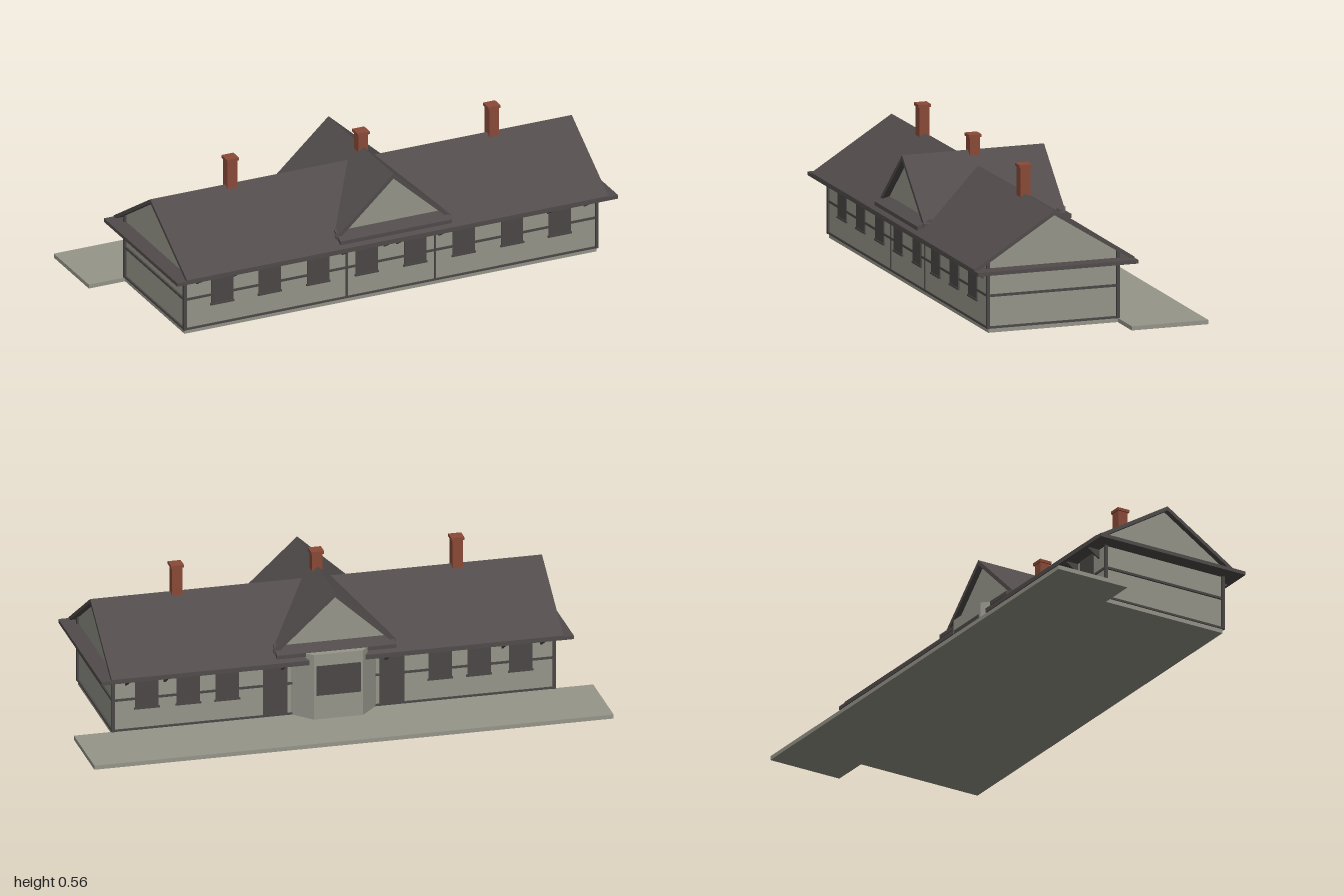
import * as THREE from 'three';

const material = (name, color) => Object.assign(new THREE.MeshStandardMaterial({ color }), { name });

export function createModel() {
  const root = new THREE.Group();
  root.name = 'stationHouse';
  const wall = material('wallGrey', 0x96958a);
  const roof = material('roofDark', 0x514c4b);
  const trim = material('trimDark', 0x4b4746);
  const brick = material('brickRed', 0x8a4a38);

  const W = 0.85, zF = 0.38, zB = -0.137, zC = 0.1225, ridge = 0.45;

  const add = (name, geo, mat) => {
    const m = new THREE.Mesh(geo, mat);
    m.name = name;
    root.add(m);
    return m;
  };
  // box given by its limits on each axis
  const box = (name, mat, x0, x1, y0, y1, z0, z1) => {
    const m = add(name, new THREE.BoxGeometry(x1 - x0, y1 - y0, z1 - z0), mat);
    m.position.set((x0 + x1) / 2, (y0 + y1) / 2, (z0 + z1) / 2);
    return m;
  };
  const extrude = (pts, depth) => new THREE.ExtrudeGeometry(
    new THREE.Shape(pts.map(p => new THREE.Vector2(...p))), { depth, bevelEnabled: false });
  // (z, y) profile run along x, and (x, y) profile run along z
  const alongX = (name, mat, pts, x0, x1) =>
    add(name, extrude(pts, x1 - x0).rotateY(-Math.PI / 2).translate(x1, 0, 0), mat);
  const alongZ = (name, mat, pts, z0, z1) =>
    add(name, extrude(pts, z1 - z0).translate(0, 0, z0), mat);
  // inverted V with a vertical thickness
  const chevron = (c, half, top, low, t) => [
    [c - half, low], [c, top], [c + half, low],
    [c + half, low - t], [c, top - t], [c - half, low - t]];

  // platform and foundation
  box('platform', wall, -1, 1, 0, 0.016, -0.442, zB);
  box('foundation', wall, -W, W, 0, 0.016, zB, zF - 0.002);

  // body with pointed gable ends
  alongX('walls', wall,
    [[zB, 0.016], [zF, 0.016], [zF, 0.28], [zC, 0.438], [zB, 0.28]], -W + 0.003, W - 0.003);

  // main roof and flat eave
  alongX('mainRoof', roof, chevron(zC, 0.319, ridge, 0.25, 0.016), -0.87, 0.87);
  box('eave', roof, -0.91, 0.91, 0.232, 0.246, -0.197, 0.442);

  // cross gable
  alongZ('crossRoof', roof, chevron(0, 0.235, 0.5, 0.286, 0.02), -0.16, 0.405);
  alongZ('crossGableWall', wall, [[-0.21, 0.25], [0.21, 0.25], [0.21, 0.291], [0, 0.482], [-0.21, 0.291]],
    zB, zF);
  for (const s of [1, -1]) {
    alongX('gablePent', roof,
      [[0.25, 0.302], [0.307, 0.277], [0.307, 0.262], [0.25, 0.262]].map(([d, y]) => [zC + s * d, y]),
      -0.23, 0.23);
  }

  // chimneys
  for (const x of [-0.54, 0, 0.54]) {
    box('chimney', brick, x - 0.02, x + 0.02, 0.4, 0.55, zC - 0.02, zC + 0.02);
    box('chimneyCap', brick, x - 0.025, x + 0.025, 0.55, 0.561, zC - 0.025, zC + 0.025);
  }

  // trim bands and corner posts
  const t = 0.004;
  for (const [y0, y1] of [[0.016, 0.024], [0.137, 0.146]]) {
    for (const z of [zF, zB]) box('wallBand', trim, -W, W, y0, y1, z - t, z + t);
    for (const x of [-W, W]) box('endBand', trim, x - t, x + t, y0, y1, zB, zF);
  }
  for (const x of [-W, W]) for (const z of [zF, zB])
    box('cornerPost', trim, x - 0.006, x + 0.006, 0.016, 0.28, z - 0.006, z + 0.006);
  for (const x of [-0.182, 0.182]) box('frontPost', trim, x - 0.004, x + 0.004, 0.016, 0.235, zF, zF + t);

  // windows, sills and rear doors
  const windowAt = (x, z) => {
    box('window', trim, x - 0.045, x + 0.045, 0.102, 0.232, z - 0.0045, z + 0.0045);
    box('sill', trim, x - 0.049, x + 0.049, 0.099, 0.106, z - 0.007, z + 0.007);
  };
  for (const s of [1, -1]) {
    for (const x of [0.1, 0.3, 0.5, 0.697]) windowAt(s * x, zF);
    for (const x of [0.41, 0.56, 0.72]) windowAt(s * x, zB);
    box('rearDoor', trim, s * 0.225 - 0.047, s * 0.225 + 0.047, 0.018, 0.232, zB - 0.0045, zB + 0.0045);
  }

  // rear bay with slanted sides
  const bay = extrude([[-0.17, 0.13], [0.17, 0.13], [0.095, 0.21], [-0.095, 0.21]], 0.26);
  add('rearBay', bay.rotateX(-Math.PI / 2).translate(0, 0.016, 0), wall);
  box('bayWindow', trim, -0.085, 0.085, 0.112, 0.23, -0.214, -0.206);

  // eave brackets
  for (const x of [-0.8, -0.65, -0.2, -0.025, 0.025, 0.2, 0.65, 0.8]) for (const s of [1, -1]) {
    if (s < 0 && Math.abs(x) < 0.1) continue;
    alongX('bracket', trim,
      [[0.255, 0.194], [0.305, 0.226], [0.305, 0.234], [0.255, 0.234]].map(([d, y]) => [zC + s * d, y]),
      x - 0.004, x + 0.004);
  }
  return root;
}
